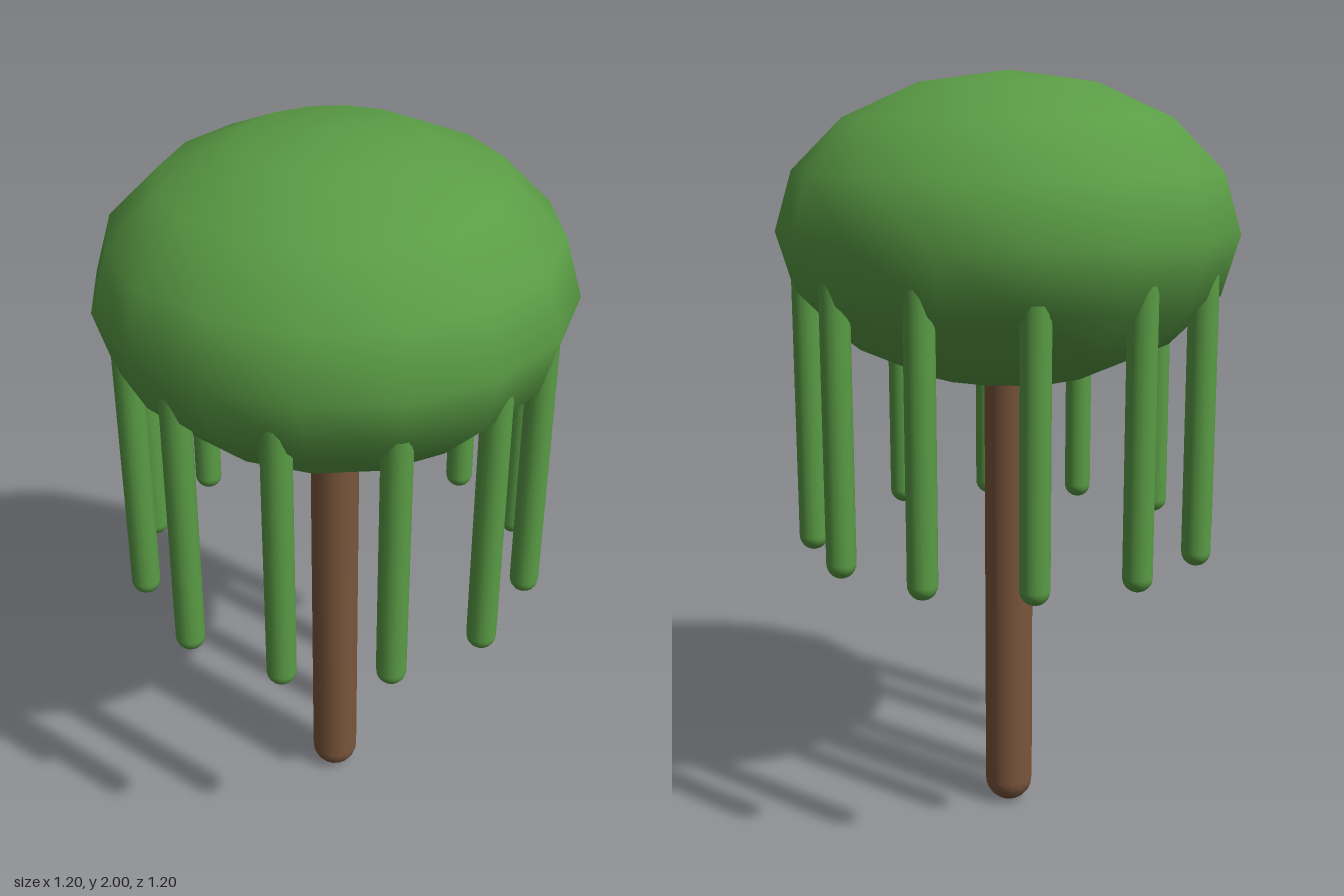
import * as THREE from 'three';

export function createModel() {
  const tree = new THREE.Group();
  tree.name = 'weepingTree';

  const leafGreen = new THREE.MeshStandardMaterial({ color: 0x5a9c45 });
  leafGreen.name = 'leafGreen';
  const barkBrown = new THREE.MeshStandardMaterial({ color: 0x7a563c });
  barkBrown.name = 'barkBrown';

  // Upright round-ended rod between two heights
  function rod(name, radius, bottom, top, material) {
    const geometry = new THREE.CapsuleGeometry(radius, top - bottom - 2 * radius, 6, 16);
    const mesh = new THREE.Mesh(geometry, material);
    mesh.name = name;
    mesh.position.y = (bottom + top) / 2;
    return mesh;
  }

  // Trunk, running up into the canopy
  tree.add(rod('trunk', 0.065, 0, 1.4, barkBrown));

  // Flattened canopy
  const canopyGeometry = new THREE.SphereGeometry(0.6, 16, 8);
  canopyGeometry.scale(1, 2 / 3, 1);
  const canopy = new THREE.Mesh(canopyGeometry, leafGreen);
  canopy.name = 'canopy';
  canopy.position.y = 1.6;
  tree.add(canopy);

  // Ring of hanging branches
  const branches = new THREE.Group();
  branches.name = 'hangingBranches';
  const count = 12;
  for (let i = 0; i < count; i++) {
    const angle = (i / count) * Math.PI * 2;
    const branch = rod('hangingBranch', 0.038, 0.755, 1.6, leafGreen);
    branch.position.x = 0.525 * Math.sin(angle);
    branch.position.z = 0.525 * Math.cos(angle);
    branches.add(branch);
  }
  tree.add(branches);

  return tree;
}
